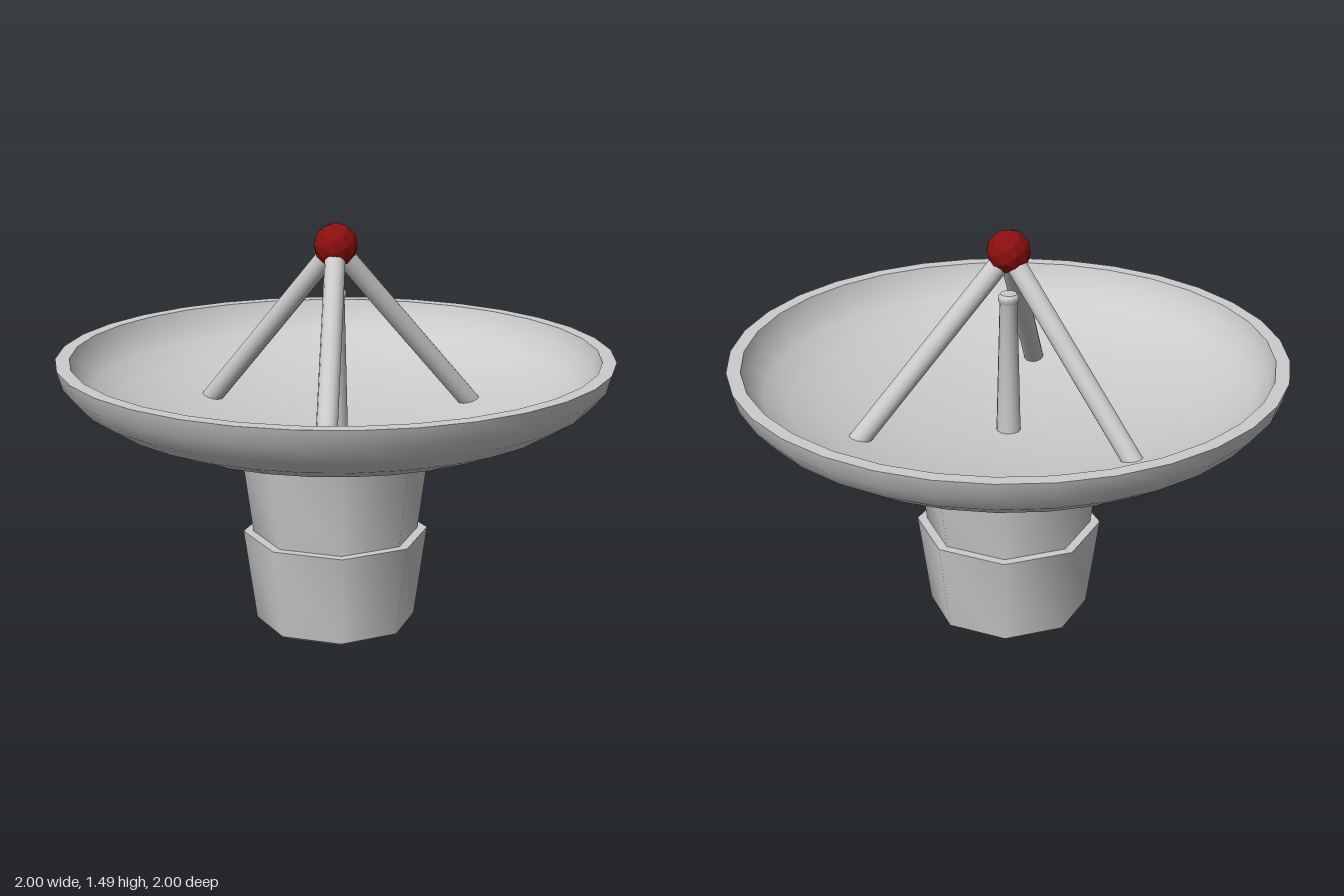
import * as THREE from 'three';
import { toCreasedNormals } from 'three/addons/utils/BufferGeometryUtils.js';

const grey = new THREE.MeshStandardMaterial({ color: 0xcccccc });
const red = new THREE.MeshStandardMaterial({ color: 0x8b0f0f, flatShading: true });

function lathe(name, points, sides, crease) {
  const profile = points.map(([r, y]) => new THREE.Vector2(r, y));
  const geometry = toCreasedNormals(new THREE.LatheGeometry(profile, sides), crease);
  const mesh = new THREE.Mesh(geometry, grey);
  mesh.name = name;
  return mesh;
}

// Quarter ellipse hanging below the rim, from the centre outwards
function bowl(radius, depth, rimY) {
  const points = [];
  for (let i = 0; i <= 8; i++) {
    const a = (i / 8) * Math.PI / 2;
    points.push([radius * Math.sin(a), rimY - depth * Math.cos(a)]);
  }
  return points;
}

// Rod between two points
function rod(name, from, to, radius) {
  const axis = to.clone().sub(from);
  const mesh = new THREE.Mesh(new THREE.CylinderGeometry(radius, radius, axis.length(), 12), grey);
  mesh.position.copy(from).add(to).multiplyScalar(0.5);
  mesh.quaternion.setFromUnitVectors(new THREE.Vector3(0, 1, 0), axis.normalize());
  mesh.name = name;
  return mesh;
}

export function createModel() {
  const model = new THREE.Group();
  model.name = 'dishAntenna';

  // Eight-sided pedestal with a stepped collar, flats facing the axes
  const k = 1 / Math.cos(Math.PI / 8);
  const pedestal = lathe('pedestal', [
    [0, 0], [0.24 * k, 0], [0.27 * k, 0.018], [0.313 * k, 0.355],
    [0.28 * k, 0.355], [0.32 * k, 0.68], [0, 0.68],
  ], 8, 0.85);
  pedestal.rotation.y = Math.PI / 8;
  model.add(pedestal);

  // Hollow dish: outer shell, flat rim, inner bowl
  const rimY = 1.016;
  model.add(lathe('dish', [
    ...bowl(1, 0.342, rimY),
    ...bowl(0.95, 0.288, rimY).reverse(),
  ], 32, 0.7));

  // Central feed post with a small rounded cap
  model.add(lathe('feedPost', [
    [0.045, 0.71], [0.032, 1.222], [0.038, 1.23], [0.038, 1.246], [0.03, 1.256], [0, 1.256],
  ], 12, 0.8));

  // Three struts carrying the receiver
  const apex = new THREE.Vector3(0, 1.41, 0);
  for (let i = 0; i < 3; i++) {
    const a = (i / 3) * Math.PI * 2;
    const foot = new THREE.Vector3(0.572 * Math.cos(a), 0.765, 0.572 * Math.sin(a));
    model.add(rod('strut' + (i + 1), apex, foot, 0.037));
  }

  // Receiver ball
  const receiver = new THREE.Mesh(new THREE.IcosahedronGeometry(0.079, 1), red);
  receiver.position.y = 1.414;
  receiver.name = 'receiver';
  model.add(receiver);

  return model;
}
